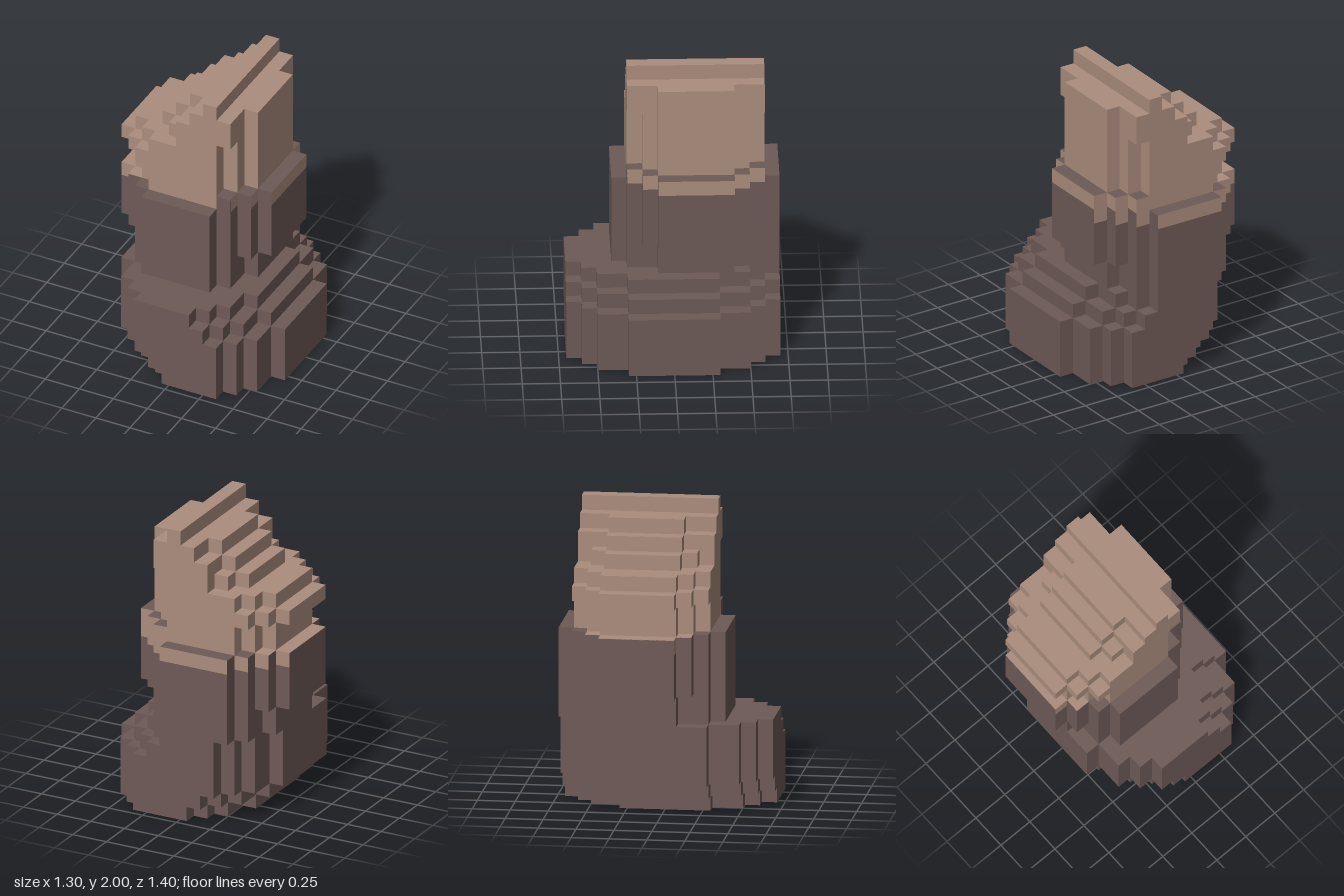
import * as THREE from 'three';

const tan = new THREE.MeshStandardMaterial({ color: 0xab8d7d });
tan.name = 'tan rock';
const dark = new THREE.MeshStandardMaterial({ color: 0x6e5a57 });
dark.name = 'dark rock';

// Stepped slab: halves are half-depths of its rows, lefts/rights their x ends.
function slabGeometry(y0, y1, zc, halves, lefts, rights) {
  const points = [];
  const add = (x, z) => {
    const last = points[points.length - 1];
    if (!last || Math.hypot(last.x - x, last.y + z) > 1e-6) points.push(new THREE.Vector2(x, -z));
  };
  const n = halves.length;
  for (let i = 0; i < n; i++) { // right side, centre to front
    add(rights[i], zc + (i ? halves[i - 1] : 0));
    add(rights[i], zc + halves[i]);
  }
  for (let i = n - 1; i >= 0; i--) { // left side, front to centre
    add(lefts[i], zc + halves[i]);
    add(lefts[i], zc + (i ? halves[i - 1] : 0));
  }
  for (let i = 0; i < n; i++) { // left side, centre to back
    add(lefts[i], zc - (i ? halves[i - 1] : 0));
    add(lefts[i], zc - halves[i]);
  }
  for (let i = n - 1; i >= 0; i--) { // right side, back to centre
    add(rights[i], zc - halves[i]);
    if (i) add(rights[i], zc - halves[i - 1]);
  }
  const geometry = new THREE.ExtrudeGeometry(new THREE.Shape(points), { depth: y1 - y0, bevelEnabled: false });
  geometry.rotateX(-Math.PI / 2);
  geometry.translate(0, y0, 0);
  return geometry;
}

// Colours each triangle tan or dark by its normal and its centre x.
function paint(geometry, isDark) {
  const p = geometry.attributes.position, normal = geometry.attributes.normal;
  geometry.clearGroups();
  for (let i = 0; i < p.count; i += 3) {
    const x = (p.getX(i) + p.getX(i + 1) + p.getX(i + 2)) / 3;
    geometry.addGroup(i, 3, isDark(normal.getY(i), normal.getZ(i), x) ? 1 : 0);
  }
  return geometry;
}

export function createModel() {
  const model = new THREE.Group();
  model.name = 'steppedRock';

  const addMesh = (name, geometry, material) => {
    const mesh = new THREE.Mesh(geometry, material);
    mesh.name = name;
    model.add(mesh);
  };
  const plate = (name, material, x0, x1, y0, y1, z0, z1) => {
    const g = new THREE.BoxGeometry(x1 - x0, y1 - y0, z1 - z0);
    g.translate((x0 + x1) / 2, (y0 + y1) / 2, (z0 + z1) / 2);
    addMesh(name, g, material);
  };

  // Wide base leaning toward +x
  const baseHalves = [0.3, 0.5, 0.6, 0.7];
  for (const [y0, y1, l, r] of [
    [0, 0.1, -0.35, 0.65], [0.1, 0.2, -0.45, 0.65], [0.2, 0.4, -0.55, 0.65],
    [0.4, 0.5, -0.55, 0.55], [0.5, 0.6, -0.55, 0.45],
  ]) {
    const lefts = baseHalves.map((_, i) => l + 0.1 * i);
    const rights = baseHalves.map((_, i) => r - 0.1 * i);
    addMesh('baseLayer', slabGeometry(y0, y1, 0, baseHalves, lefts, rights), dark);
  }

  // Middle block with its bulge
  const zc = -0.15, halves = [0.25, 0.35, 0.45, 0.55];
  const wideL = [-0.65, -0.55, -0.45, -0.35], wideR = [0.45, 0.35, 0.25, 0.15];
  addMesh('waist', slabGeometry(0.6, 0.8, zc, halves, [-0.55, -0.45, -0.45, -0.35], [0.35, 0.25, 0.25, 0.15]), dark);
  addMesh('middleBlock', slabGeometry(0.8, 1.1, zc, halves, wideL, wideR), dark);
  addMesh('middleRim', paint(slabGeometry(1.1, 1.2, zc, halves, wideL, wideR),
    (ny, nz, x) => !(nz < -0.5 || (nz > 0.5 && x < -0.55))), [tan, dark]);
  plate('ledgeTop', tan, -0.65, -0.55, 1.198, 1.202, -0.4, 0.1);
  plate('ledgeTop', tan, -0.55, -0.45, 1.198, 1.202, -0.5, 0.2);

  // Lowest tan layer, with dark top and front on the +x shoulder
  const top = halves.slice(0, 3);
  const slimL = [-0.55, -0.45, -0.35], slimR = [0.35, 0.25, 0.15];
  addMesh('shoulder', paint(slabGeometry(1.2, 1.3, zc, top, slimL, [0.45, 0.35, 0.25]),
    (ny, nz, x) => ny > 0.5 || (nz > 0.5 && x > 0.2)), [tan, dark]);
  plate('shoulderFront', dark, 0.15, 0.25, 1.2, 1.3, 0.298, 0.303);

  // Upper layers stepping up to the ridge
  const capR = [0.35, 0.25, 0.25];
  for (const [y0, y1, lefts, rights] of [
    [1.3, 1.4, slimL, slimR],
    [1.4, 1.5, [-0.65, -0.55, -0.45], slimR],
    [1.5, 1.6, slimL, slimR],
    [1.6, 1.7, [-0.35, -0.25, -0.15], slimR],
    [1.7, 1.8, [-0.25, -0.15, -0.15], capR],
    [1.8, 1.9, [-0.15, -0.05, -0.05], capR],
  ]) addMesh('peakLayer', slabGeometry(y0, y1, zc, top, lefts, rights), tan);
  plate('ridge', tan, 0.05, 0.15, 1.9, 2, -0.6, 0.3);

  return model;
}
